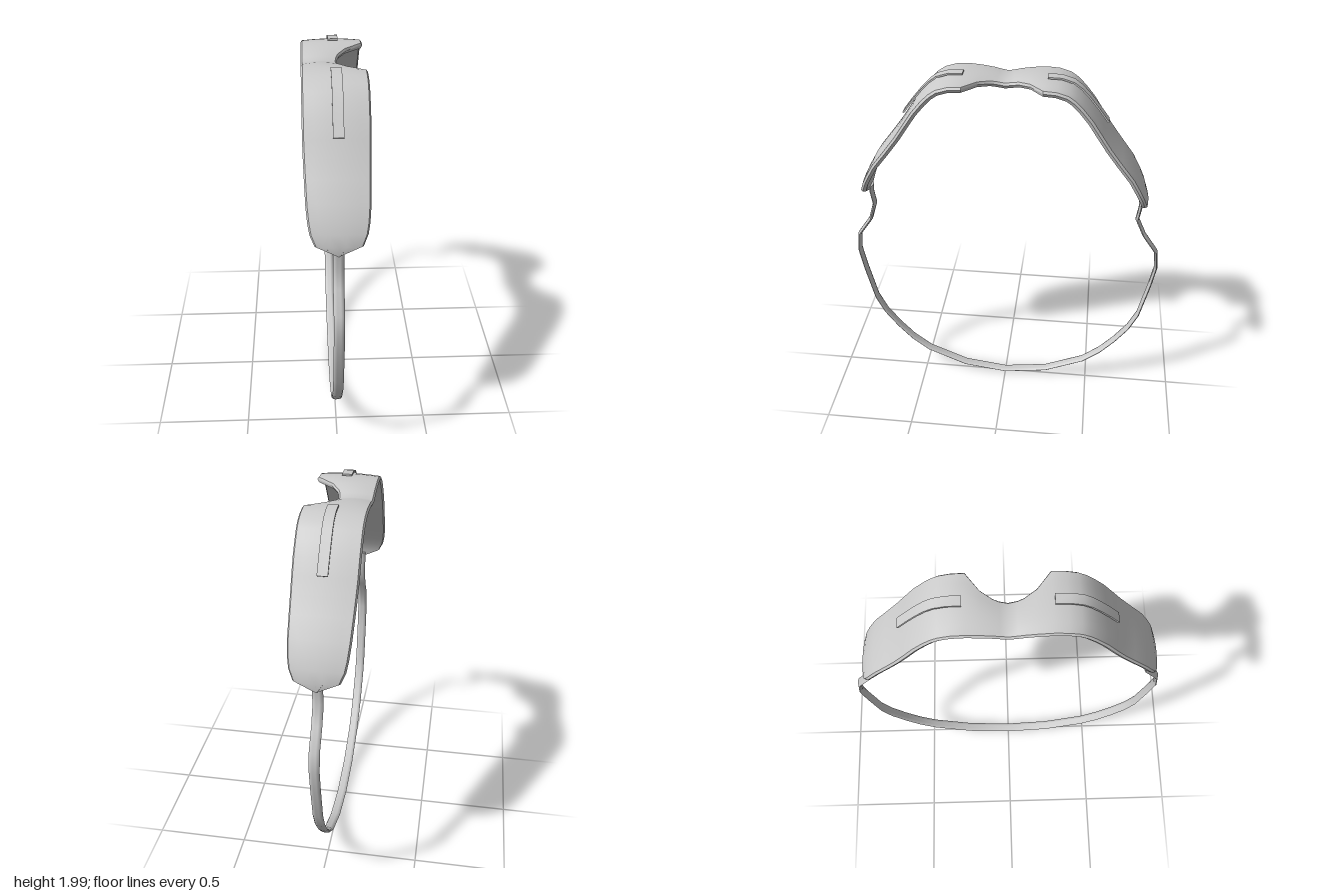
import * as THREE from 'three';
import { toCreasedNormals } from 'three/addons/utils/BufferGeometryUtils.js';

// Sweeps a closed cross-section along a [z, y] path. section(i) gives [x, height] pairs,
// running over the outside from -x to +x and back along the inside.
function loft(path, section, crease) {
  const pos = [], index = [];
  let n = 0;
  path.forEach(([z, y], i) => {
    const a = path[Math.max(i - 1, 0)], b = path[Math.min(i + 1, path.length - 1)];
    const len = Math.hypot(b[0] - a[0], b[1] - a[1]);
    const tz = (b[0] - a[0]) / len, ty = (b[1] - a[1]) / len;
    const ring = section(i);
    n = ring.length;
    for (const [x, h] of ring) pos.push(x, y - tz * h, z + ty * h);
  });
  for (let i = 0; i < path.length - 1; i++) {
    for (let j = 0; j < n; j++) {
      const a = i * n + j, b = i * n + (j + 1) % n;
      index.push(a, b, a + n, b, b + n, a + n);
    }
  }
  const last = (path.length - 1) * n;
  for (let j = 1; j < n - 1; j++) {
    index.push(0, j + 1, j, last, last + j, last + j + 1);
  }
  const geo = new THREE.BufferGeometry();
  geo.setAttribute('position', new THREE.Float32BufferAttribute(pos, 3));
  geo.setIndex(index);
  return toCreasedNormals(geo, crease);
}

export function createModel() {
  const group = new THREE.Group();
  const fabric = new THREE.MeshStandardMaterial({ color: 0xcccccc });
  fabric.name = 'light grey fabric';
  const add = (name, geo) => {
    const mesh = new THREE.Mesh(geo, fabric);
    mesh.name = name;
    group.add(mesh);
  };

  // Mask: half profile from the nose bridge to the tip, as z, y, left x, right x
  const half = [
    [0, 1.95, -0.16, 0.02], [0.04, 1.958, -0.16, 0.025], [0.07, 1.965, -0.16, 0.035],
    [0.13, 1.974, -0.16, 0.075], [0.2, 1.98, -0.16, 0.162], [0.27, 1.975, -0.16, 0.162],
    [0.33, 1.957, -0.16, 0.162], [0.37, 1.93, -0.16, 0.162], [0.41, 1.89, -0.16, 0.162],
    [0.46, 1.83, -0.16, 0.162], [0.51, 1.755, -0.16, 0.161], [0.56, 1.68, -0.158, 0.159],
    [0.62, 1.6, -0.155, 0.156], [0.69, 1.51, -0.151, 0.152], [0.73, 1.44, -0.144, 0.146],
    [0.755, 1.39, -0.135, 0.137], [0.775, 1.335, -0.112, 0.115], [0.778, 1.285, -0.012, 0.012],
  ];
  const mask = [
    ...half.slice().reverse(),
    ...half.slice(1).map(([z, y, l, r]) => [-z * 0.98, y, l, r]),
  ];
  const thick = 0.036;
  add('mask', loft(mask, (i) => {
    const [, , l, r] = mask[i];
    const bevel = Math.min(0.008, (r - l) / 4), ring = [[l, -0.02]];
    for (let k = 0; k <= 6; k++) {
      const u = k / 6;
      ring.push([l + bevel + (r - l - 2 * bevel) * u, -0.008 * (2 * u - 1) ** 2]);
    }
    ring.push([r, -0.02], [r - bevel, -thick], [l + bevel, -thick]);
    return ring;
  }, 0.7));

  // Thin raised strips, one over each eye
  const strip = [[0.21, 1.986], [0.28, 1.984], [0.34, 1.965], [0.38, 1.935],
    [0.42, 1.893], [0.47, 1.832], [0.52, 1.765]];
  const stripSection = () => [[-0.018, 0.006], [0.034, 0.006], [0.034, -0.003], [-0.018, -0.003]];
  add('frontStrip', loft(strip.slice().reverse(), stripSection, 0.6));
  add('backStrip', loft(strip.map(([z, y]) => [-z, y]), stripSection, 0.6));

  // Elastic strap hanging as one loop between the two tips
  const drop = [
    [0.738, 1.31], [0.742, 1.27], [0.731, 1.19], [0.762, 1.09], [0.835, 0.985], [0.847, 0.875],
    [0.825, 0.745], [0.779, 0.532], [0.73, 0.424], [0.655, 0.318], [0.575, 0.226],
    [0.475, 0.144], [0.25, 0.045], [0, 0.01],
  ];
  const strap = [
    ...drop.map(([z, y]) => [y > 1.15 ? -z + 0.015 : -z, y]),
    ...drop.slice(0, -1).reverse(),
  ];
  const sides = 10;
  add('strap', loft(strap, () => Array.from({ length: sides }, (_, k) => {
    const a = Math.PI - (k / sides) * Math.PI * 2;
    return [0.027 * Math.cos(a), 0.01 * Math.sin(a)];
  }), 1));

  return group;
}
